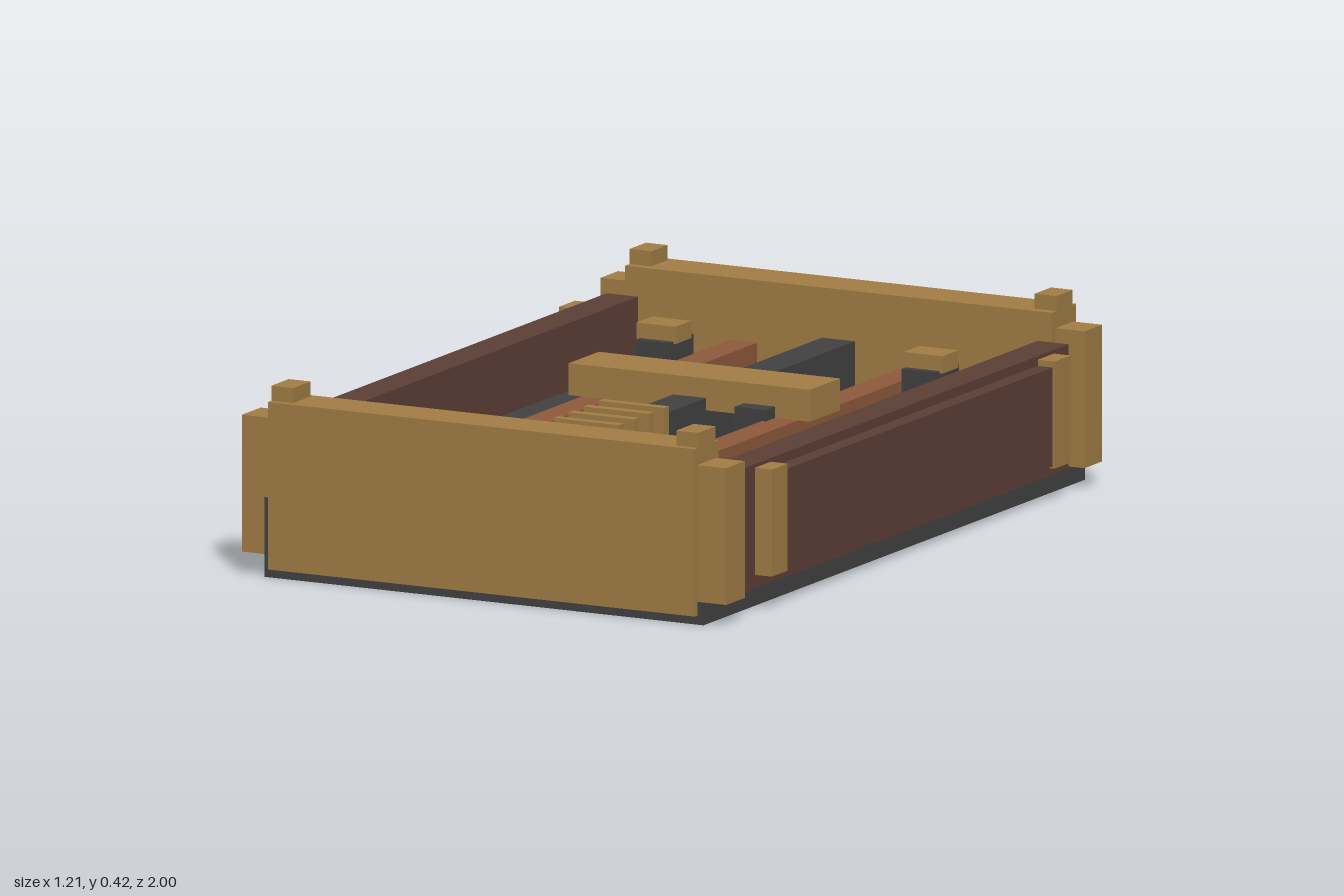
import * as THREE from 'three';

export function createModel() {
  const root = new THREE.Group();
  root.name = 'tray';
  const mat = (name, color) => {
    const m = new THREE.MeshStandardMaterial({ color });
    m.name = name;
    return m;
  };
  const brass = mat('brass', 0xa37e45);
  const iron = mat('dark iron', 0x424242);
  const wood = mat('dark wood', 0x5d4037);
  const copper = mat('copper', 0x8f5a3c);

  // Box given by its limits on each axis
  const box = (name, m, x0, x1, y0, y1, z0, z1) => {
    const mesh = new THREE.Mesh(new THREE.BoxGeometry(x1 - x0, y1 - y0, z1 - z0), m);
    mesh.position.set((x0 + x1) / 2, (y0 + y1) / 2, (z0 + z1) / 2);
    mesh.name = name;
    root.add(mesh);
  };
  // The same box on the left and right
  const pair = (name, m, x0, x1, ...rest) => {
    box(name + 'Left', m, x0, x1, ...rest);
    box(name + 'Right', m, -x1, -x0, ...rest);
  };

  // Base and end plates
  box('base', iron, -0.535, 0.535, 0, 0.175, -0.743, 0.985);
  box('frontPlate', brass, -0.52, 0.52, 0.02, 0.387, 0.89, 0.998);
  box('backPlate', brass, -0.52, 0.52, 0.02, 0.387, -0.73, -0.62);

  // Corner posts with raised caps
  for (const [end, z0, z1] of [['front', 0.9, 0.985], ['back', -0.718, -0.638]]) {
    pair(end + 'Post', brass, 0.48, 0.59, 0.05, 0.35, z0, z1);
    pair(end + 'Cap', brass, 0.467, 0.52, 0.38, 0.42, z0 + 0.003, z1 - 0.003);
  }

  // Side walls, outer panels and their end slats
  pair('sideWall', wood, 0.487, 0.563, 0.05, 0.323, -0.617, 0.865);
  pair('sidePanel', wood, 0.56, 0.6, 0.085, 0.302, -0.475, 0.733);
  pair('frontSlat', brass, 0.56, 0.604, 0.08, 0.315, 0.733, 0.804);
  pair('backSlat', brass, 0.56, 0.604, 0.08, 0.315, -0.55, -0.477);

  // Lengthwise rails on the floor
  pair('copperRail', copper, 0.198, 0.264, 0.17, 0.25, -0.62, 0.863);
  box('centreRail', iron, -0.04, 0.04, 0.17, 0.277, -0.62, 0.863);

  // Clips beside the rails
  for (const [end, z] of [['front', 0.788], ['back', -0.435]]) {
    pair(end + 'ClipBlock', iron, 0.283, 0.365, 0.17, 0.285, z - 0.054, z + 0.054);
    pair(end + 'ClipTop', brass, 0.278, 0.373, 0.28, 0.318, z - 0.036, z + 0.036);
  }

  // Cross bar and the small latch under it
  box('crossBar', brass, -0.295, 0.293, 0.25, 0.32, -0.083, 0.053);
  box('latch', iron, 0.132, 0.208, 0.205, 0.275, -0.143, 0.095);

  // Thin fins over the centre rail
  for (let i = 0; i < 5; i++) {
    const z = 0.307 + i * 0.068;
    box('fin' + (i + 1), brass, -0.08, 0.08, 0.21, 0.308, z - 0.011, z + 0.011);
  }

  // Carrying handle at the back
  box('handleGrip', brass, -0.309, 0.309, 0.07, 0.163, -1, -0.935);
  pair('handleArm', brass, 0.23, 0.309, 0.07, 0.163, -0.935, -0.74);
  pair('handleBracket', brass, 0.2, 0.245, 0.053, 0.188, -0.84, -0.74);

  return root;
}
